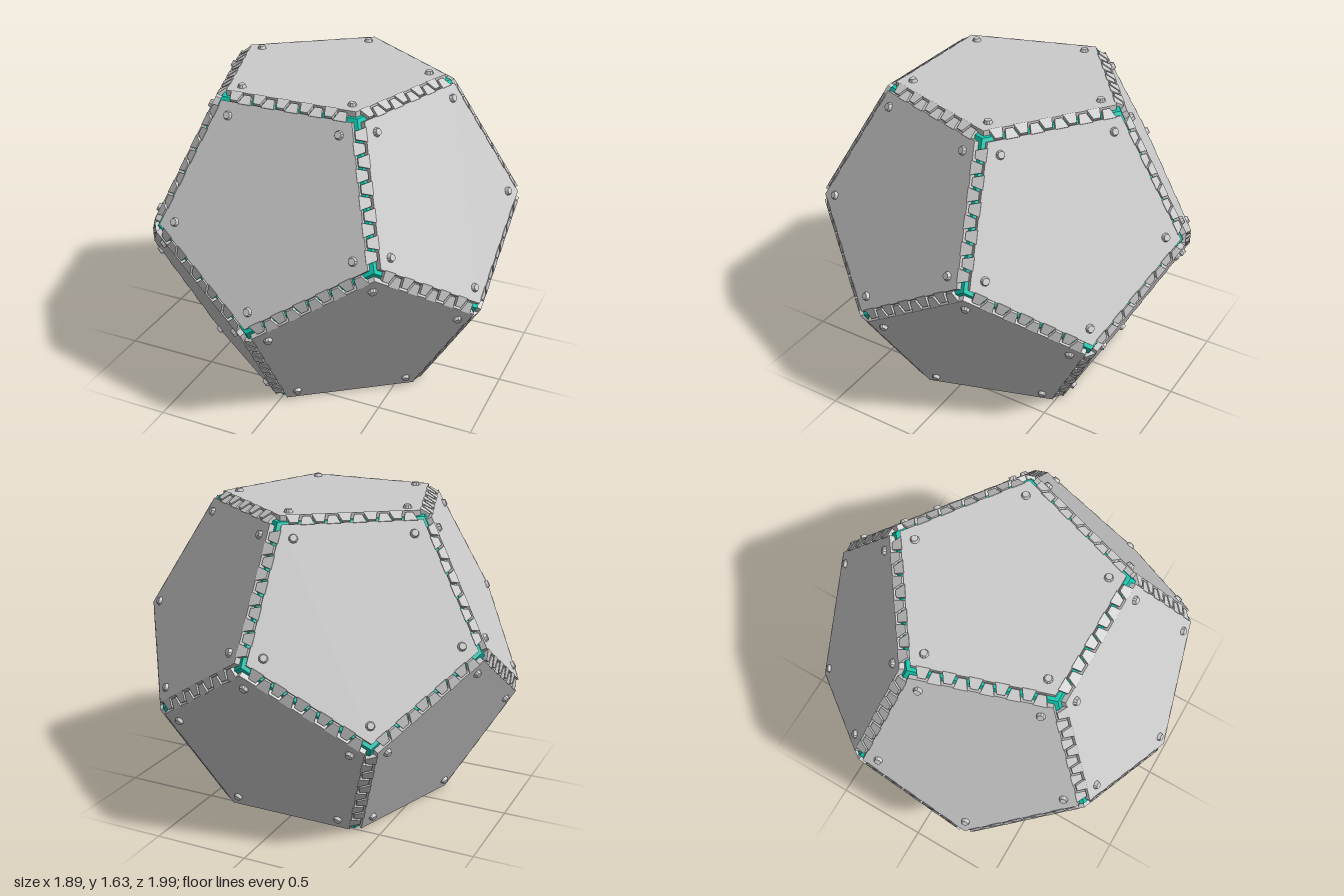
import * as THREE from 'three';
import { ConvexGeometry } from 'three/addons/geometries/ConvexGeometry.js';

const INNER = 0.795;   // centre to core face
const OUTER = 0.822;   // centre to plate surface
const PLATE_R = 0.583; // plate corner radius
const APOTHEM = PLATE_R * Math.cos(Math.PI / 5);
const STEP = Math.PI * 2 / 5;
const TILT = 0.5536;   // half the angle between neighbouring faces
const PITCH = 0.125;   // tooth spacing

const grey = new THREE.MeshStandardMaterial({ color: 0xcccccc, flatShading: true });
const teal = new THREE.MeshStandardMaterial({ color: 0x10c8b0, flatShading: true });

function extrude(points, depth) {
  const shape = new THREE.Shape(points.map(([x, y]) => new THREE.Vector2(x, y)));
  return new THREE.ExtrudeGeometry(shape, { depth, bevelEnabled: false });
}

function part(name, geometry, material = grey) {
  const mesh = new THREE.Mesh(geometry, material);
  mesh.name = name;
  return mesh;
}

// Solid twelve-sided core, resting on one face
function makeCore() {
  const points = [];
  for (let k = 0; k < 5; k++) {
    for (const [r, y] of [[0.607, INNER], [0.982, 0.1876]]) {
      const a = (k + 0.5) * STEP, b = k * STEP;
      points.push(new THREE.Vector3(r * Math.sin(a), y, r * Math.cos(a)));
      points.push(new THREE.Vector3(r * Math.sin(b), -y, r * Math.cos(b)));
    }
  }
  return part('core', new ConvexGeometry(points), teal);
}

const corners = [0, 1, 2, 3, 4].map(k => [-PLATE_R * Math.sin(k * STEP), PLATE_R * Math.cos(k * STEP)]);
const plateGeo = extrude(corners, OUTER - INNER).translate(0, 0, INNER);
const toothGeo = extrude([[-0.034, -0.004], [0.034, -0.004], [0.019, 0.051], [-0.019, 0.051]], 0.02)
  .translate(0, 0, -0.02);
const boltGeo = new THREE.CylinderGeometry(0.017, 0.023, 0.016, 10).rotateX(Math.PI / 2);

// One armour panel: pentagon plate, corner bolts and interlocking edge teeth
function makePanel(normal, toCorner, bareEdge) {
  const panel = new THREE.Group();
  panel.name = 'panel';
  panel.add(part('plate', plateGeo));
  for (let k = 0; k < 5; k++) {
    const bolt = part('bolt', boltGeo);
    bolt.position.set(-0.498 * Math.sin(k * STEP), 0.498 * Math.cos(k * STEP), OUTER + 0.008);
    panel.add(bolt);
    if (k === bareEdge) continue;
    // Teeth fold over the edge halfway towards the next face
    const side = new THREE.Group();
    side.name = 'edgeTeeth';
    side.rotation.z = (k + 0.5) * STEP;
    const fold = new THREE.Group();
    fold.position.set(0, APOTHEM, OUTER);
    fold.rotation.x = -TILT;
    for (let i = -2; i <= 2; i++) {
      const tooth = part('tooth', toothGeo);
      tooth.position.x = i * PITCH + PITCH / 4;
      fold.add(tooth);
    }
    side.add(fold);
    panel.add(side);
  }
  const across = new THREE.Vector3().crossVectors(toCorner, normal);
  panel.quaternion.setFromRotationMatrix(new THREE.Matrix4().makeBasis(across, toCorner, normal));
  return panel;
}

export function createModel() {
  const model = new THREE.Group();
  model.name = 'plated dodecahedron';
  const body = new THREE.Group();
  body.name = 'body';
  body.position.y = INNER;
  body.add(makeCore());

  // Top panel, then the upper and lower rings; the underside stays bare
  body.add(makePanel(new THREE.Vector3(0, 1, 0), new THREE.Vector3(0, 0, -1)));
  const c = 2 / Math.sqrt(5), s = 1 / Math.sqrt(5);
  for (let k = 0; k < 5; k++) {
    for (const up of [1, -1]) {
      const a = (k + (up > 0 ? 0 : 0.5)) * STEP;
      const x = Math.sin(a), z = Math.cos(a);
      const normal = new THREE.Vector3(c * x, up * s, c * z);
      const toCorner = new THREE.Vector3(s * x, -up * c, s * z);
      body.add(makePanel(normal, toCorner, up < 0 ? 2 : -1));
    }
  }
  model.add(body);
  return model;
}
